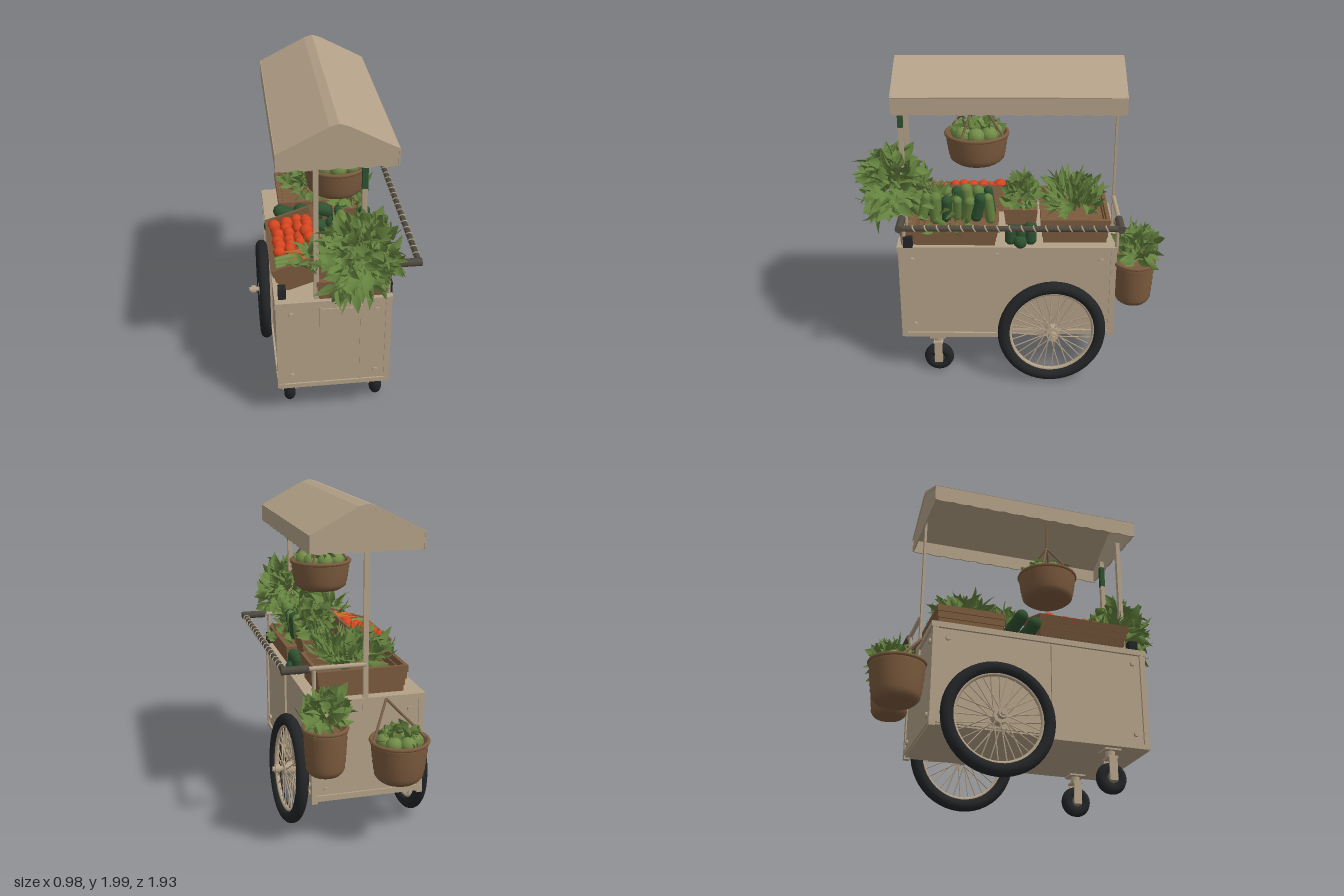
import * as THREE from 'three';
import { mergeGeometries } from 'three/addons/utils/BufferGeometryUtils.js';

const mat = (name, color, side = THREE.FrontSide) =>
  Object.assign(new THREE.MeshStandardMaterial({ color, side }), { name });

export function createModel() {
  const root = new THREE.Group();
  root.name = 'marketCart';
  const M = {
    cream: mat('cream paint', 0xb4a288, THREE.DoubleSide),
    black: mat('black rubber', 0x222426),
    wicker: mat('wicker', 0x7c5b3e, THREE.DoubleSide),
    rope: mat('rope', 0x7a6048),
    wrap: mat('dark grip', 0x504b40),
    leaf: mat('leaf green', 0x65823f, THREE.DoubleSide),
    light: mat('light green', 0x748e49, THREE.DoubleSide),
    dark: mat('dark green', 0x2e5230),
    red: mat('tomato red', 0xd8451f),
    carrot: mat('carrot orange', 0xc9682e),
  };
  let seed = 7;
  const rnd = (a = 0, b = 1) => {
    seed = (seed * 16807) % 2147483647;
    return a + (b - a) * seed / 2147483647;
  };
  const V = (x, y, z) => new THREE.Vector3(x, y, z);
  const add = (name, geo, m, p = [0, 0, 0], r = [0, 0, 0], parent = root) => {
    const mesh = new THREE.Mesh(geo, m);
    mesh.name = name;
    mesh.position.set(...p);
    mesh.rotation.set(...r);
    parent.add(mesh);
    return mesh;
  };
  const box = (name, s, p, m = M.cream, parent = root) =>
    add(name, new THREE.BoxGeometry(...s), m, p, [0, 0, 0], parent);
  // straight rod between two points
  const rodGeo = (a, b, r, sides = 8) => {
    const d = b.clone().sub(a);
    const g = new THREE.CylinderGeometry(r, r, d.length(), sides);
    g.applyQuaternion(new THREE.Quaternion().setFromUnitVectors(V(0, 1, 0), d.normalize()));
    return g.translate((a.x + b.x) / 2, (a.y + b.y) / 2, (a.z + b.z) / 2);
  };
  const rod = (name, a, b, r, m = M.cream, parent = root) => add(name, rodGeo(V(...a), V(...b), r), m, [0, 0, 0], [0, 0, 0], parent);

  // cabinet
  box('cabinet', [0.65, 0.59, 1.31], [-0.02, 0.58, 0.02]);
  box('cabinetFloor', [0.65, 0.02, 0.62], [-0.02, 0.28, 0.36]);
  box('counterTop', [0.68, 0.035, 1.34], [-0.02, 0.885, 0.02]);
  for (const x of [-0.34, 0.3]) {
    for (const z of [0.665, -0.625]) box('cornerTrim', [0.035, 0.6, 0.035], [x, 0.575, z]);
    box('sidePanelSeam', [0.035, 0.58, 0.014], [x, 0.57, 0.08]);
    box('bottomRail', [0.035, 0.03, 0.6], [x, 0.285, 0.37]);
    box('rearRail', [0.035, 0.03, 0.7], [x, 0.31, -0.27]);
    box('cornerCap', [0.045, 0.07, 0.055], [x > 0 ? 0.3 : -0.315, 0.935, 0.62], M.black);
  }
  for (const x of [-0.1, 0.14]) box('frontSeam', [0.012, 0.56, 0.01], [x, 0.575, 0.676]);
  box('frontDoor', [0.22, 0.5, 0.009], [0.02, 0.59, 0.677]);
  box('frontRail', [0.66, 0.03, 0.02], [-0.02, 0.285, 0.675]);
  box('backRail', [0.66, 0.03, 0.02], [-0.02, 0.31, -0.635]);
  for (const y of [0.36, 0.81]) {
    for (const x of [-0.27, 0.23]) for (const z of [0.68, -0.64])
      add('bolt', new THREE.CylinderGeometry(0.016, 0.016, 0.014, 10), M.cream, [x, y, z], [Math.PI / 2, 0, 0]);
    for (const x of [-0.35, 0.31]) for (const z of [0.6, -0.55])
      add('bolt', new THREE.CylinderGeometry(0.016, 0.016, 0.02, 10), M.cream, [x, y, z], [0, 0, Math.PI / 2]);
  }

  // spoked wheels
  const spokes = [];
  for (let i = 0; i < 32; i++) {
    const a = i / 32 * Math.PI * 2, b = a + (i % 2 ? 0.5 : -0.5), s = i % 4 < 2 ? 0.025 : -0.025;
    spokes.push(rodGeo(V(s, Math.sin(b) * 0.035, Math.cos(b) * 0.035), V(0, Math.sin(a) * 0.265, Math.cos(a) * 0.265), 0.004, 5));
  }
  const spokeGeo = mergeGeometries(spokes);
  for (const [name, x, ry, rz] of [['leftWheel', 0.372, 0.065, 0.07], ['rightWheel', -0.385, 0, 0]]) {
    const g = new THREE.Group(), out = Math.sign(x);
    g.name = name;
    g.position.set(x, 0.348, -0.255);
    g.rotation.set(0, ry, rz);
    root.add(g);
    add('tyre', new THREE.TorusGeometry(0.298, 0.038, 12, 48), M.black, [0, 0, 0], [0, Math.PI / 2, 0], g);
    add('rim', new THREE.TorusGeometry(0.262, 0.014, 8, 48), M.cream, [0, 0, 0], [0, Math.PI / 2, 0], g);
    add('spokes', spokeGeo, M.cream, [0, 0, 0], [0, 0, 0], g);
    rod('hub', [-0.035, 0, 0], [0.035, 0, 0], 0.042, M.cream, g);
    rod('axleEnd', [-0.05 * out, 0, 0], [0.1 * out, 0, 0], 0.016, M.cream, g);
    rod('axleNut', [0.055 * out, 0, 0], [0.085 * out, 0, 0], 0.028, M.cream, g);
  }
  rod('axle', [-0.38, 0.348, -0.255], [0.36, 0.348, -0.255], 0.015);

  // swivel casters
  for (const x of [-0.275, 0.27]) {
    const g = new THREE.Group();
    g.name = 'caster';
    g.position.set(x, 0.1, 0.46);
    root.add(g);
    add('casterTyre', new THREE.TorusGeometry(0.06, 0.034, 10, 28), M.black, [0, 0, 0], [0, Math.PI / 2, 0], g);
    rod('casterHub', [-0.028, 0, 0], [0.028, 0, 0], 0.036, M.wrap, g);
    for (const s of [-0.04, 0.04]) box('forkArm', [0.01, 0.14, 0.05], [s, 0.05, 0], M.cream, g);
    box('forkBridge', [0.09, 0.014, 0.06], [0, 0.12, 0], M.cream, g);
    rod('swivel', [0, 0.12, 0], [0, 0.18, 0], 0.03, M.cream, g);
    box('mountPlate', [0.1, 0.014, 0.1], [0, 0.166, 0], M.cream, g);
  }

  // canopy posts
  for (const x of [-0.12, 0.145]) box('frontPost', [0.028, 0.92, 0.028], [x, 1.34, 0.65]);
  box('postSleeve', [0.031, 0.15, 0.031], [0.145, 1.68, 0.65], M.dark);
  box('backPost', [0.03, 1.02, 0.014], [0, 1.34, -0.64]);

  // canopy cloth: roof shell, wavy valance and gables
  const roof = new THREE.Shape();
  [[-0.335, 1.84], [-0.05, 1.985], [0, 2], [0.05, 1.985], [0.325, 1.84],
    [0.32, 1.825], [0, 1.985], [-0.325, 1.825]].forEach(([x, y], i) => i ? roof.lineTo(x, y) : roof.moveTo(x, y));
  add('canopyRoof', new THREE.ExtrudeGeometry(roof, { depth: 1.34, bevelEnabled: false }), M.cream, [0, 0, -0.66]);
  const scallops = (s, w, n, drop) => {
    for (let i = 0; i < n; i++) {
      const x = w / 2 - i * w / n;
      s.quadraticCurveTo(x - w / n / 2, -drop, x - w / n, 0);
    }
  };
  const thin = s => new THREE.ExtrudeGeometry(s, { depth: 0.008, bevelEnabled: false, curveSegments: 5 });
  const val = new THREE.Shape();
  val.moveTo(-0.67, 0.1); val.lineTo(0.67, 0.1); val.lineTo(0.67, 0);
  scallops(val, 1.34, 12, 0.014);
  add('leftValance', thin(val), M.cream, [0.316, 1.742, 0.01], [0, Math.PI / 2, 0]);
  add('rightValance', thin(val), M.cream, [-0.334, 1.742, 0.01], [0, Math.PI / 2, 0]);
  const gable = new THREE.Shape();
  gable.moveTo(-0.325, 0.1); gable.lineTo(0, 0.25); gable.lineTo(0.325, 0.1); gable.lineTo(0.325, 0);
  scallops(gable, 0.65, 6, 0.02);
  for (const z of [0.665, -0.655]) add('gable', thin(gable), M.cream, [-0.005, 1.745, z]);

  // push rail with wrapped grip
  rod('pushRail', [0.468, 1.1, -0.65], [0.468, 1.1, 0.65], 0.018, M.wrap);
  for (let i = 0; i < 17; i++)
    add('railBinding', new THREE.TorusGeometry(0.018, 0.005, 6, 12), M.cream, [0.468, 1.1, -0.56 + i * 0.07], [0.5, 0, 0]);
  for (const [z, x] of [[0.645, 0.15], [-0.64, 0]]) {
    rod('railArm', [x, 1.1, z], [0.34, 1.1, z], 0.014);
    rod('railGrip', [0.33, 1.1, z], [0.485, 1.1, z], 0.024, M.wrap);
    rod('railBrace', [0.3, 0.9, z], [0.3, 1.1, z], 0.012);
  }

  // folded, drooping leaf that grows along +y
  const leafGeo = (w, l) => {
    const g = new THREE.PlaneGeometry(1, 1, 2, 4), p = g.attributes.position;
    for (let i = 0; i < p.count; i++) {
      const t = p.getY(i) + 0.5, x = p.getX(i) * w * (Math.sin(Math.PI * Math.pow(t, 0.75)) + 0.06);
      p.setXYZ(i, x, t * l, Math.abs(x) * 0.4 - t * t * l * 0.3);
    }
    g.computeVertexNormals();
    return g;
  };
  // clump of leaves scattered through an ellipsoid; lift pulls them upright
  const bush = (name, c, r, n, l, w, lift, m = M.leaf) => {
    const parts = [], q = new THREE.Quaternion();
    for (let i = 0; i < n; i++) {
      const a = i * 2.39996, h = rnd(-0.75, 1), k = Math.sqrt(1 - h * h) * rnd(0.8, 1);
      const d = V(Math.cos(a) * k, h, Math.sin(a) * k), f = rnd(0.35, 0.9), s = rnd(0.75, 1.2);
      const dir = d.clone().add(V(rnd(-0.9, 0.9), lift + rnd(-0.6, 0.6), rnd(-0.9, 0.9))).normalize();
      const g = leafGeo(w * s, l * s).rotateY(rnd(0, 6.28));
      g.applyQuaternion(q.setFromUnitVectors(V(0, 1, 0), dir));
      parts.push(g.translate(c[0] + d.x * r[0] * f, c[1] + d.y * r[1] * f, c[2] + d.z * r[2] * f));
    }
    return add(name, mergeGeometries(parts), m);
  };

  // rectangular wicker basket from stacked woven rings
  const crate = (name, w, h, d, p, r = [0, 0, 0]) => {
    const g = new THREE.Group(), rows = 4;
    g.name = name;
    g.position.set(...p);
    g.rotation.set(...r);
    root.add(g);
    const rect = (s, a, b) => { s.moveTo(-a, -b); s.lineTo(a, -b); s.lineTo(a, b); s.lineTo(-a, b); s.closePath(); return s; };
    for (let i = 0; i < rows; i++) {
      const k = 0.92 + 0.08 * i / (rows - 1), a = w / 2 * k, b = d / 2 * k;
      const s = rect(new THREE.Shape(), a, b);
      s.holes.push(rect(new THREE.Path(), a - 0.022, b - 0.022));
      add('wovenRow', new THREE.ExtrudeGeometry(s, { depth: h / rows, bevelEnabled: false }),
        M.wicker, [0, h * i / rows, 0], [-Math.PI / 2, 0, 0], g);
    }
    box('basketFill', [w * 0.86, h * 0.5, d * 0.86], [0, h * 0.26, 0], M.wicker, g);
    return g;
  };
  // round wicker basket, base at y = 0
  const pot = (name, rb, rt, h, p) => {
    const pts = [[0, 0], [rb * 0.85, 0]];
    for (let i = 0; i <= 12; i++) pts.push([rb + (rt - rb) * Math.sqrt(i / 12) + (i % 2) * 0.004, 0.015 + (h - 0.015) * i / 12]);
    pts.push([rt - 0.02, h], [rt - 0.025, h - 0.04], [0, h - 0.03]);
    add(name, new THREE.LatheGeometry(pts.map(a => new THREE.Vector2(...a)), 28), M.wicker, p);
    add(name + 'Rim', new THREE.TorusGeometry(rt, 0.012, 8, 28), M.wicker, [p[0], p[1] + h, p[2]], [Math.PI / 2, 0, 0]);
  };
  const capsule = (r, l) => new THREE.CapsuleGeometry(r, l, 5, 10);

  // produce on the counter: left front basket with courgettes and stalks
  crate('leftFrontBasket', 0.3, 0.12, 0.52, [0.15, 0.9, 0.335]);
  for (let i = 0; i < 14; i++)
    add('courgette', capsule(rnd(0.028, 0.04), rnd(0.1, 0.15)), i % 3 ? M.leaf : M.dark,
      [0.07 + (i % 2) * 0.13 + rnd(-0.02, 0.02), 1.09 + rnd(0, 0.04), 0.13 + Math.floor(i / 2) * 0.065], [rnd(-0.3, 0.3), 0, rnd(-0.35, 0.1)]);
  bush('chard', [0.14, 1.08, 0.46], [0.12, 0.1, 0.1], 60, 0.11, 0.035, 1);
  bush('overhangingLeaves', [0.28, 1.02, 0.36], [0.06, 0.04, 0.16], 16, 0.07, 0.035, -0.2);

  // tilted basket of tomatoes, carrots and cucumbers
  const tilted = crate('tomatoBasket', 0.31, 0.17, 0.58, [-0.17, 0.935, 0.29], [0, 0, 0.32]);
  for (let i = 0; i < 22; i++)
    add('tomato', new THREE.SphereGeometry(rnd(0.032, 0.042), 12, 8), M.red,
      [-0.095 + (i % 4) * 0.064 + rnd(-0.01, 0.01), 0.12 + rnd(0, 0.035), -0.22 + Math.floor(i / 4) * 0.058 + rnd(-0.01, 0.01)], [0, 0, 0], tilted);
  for (let i = 0; i < 6; i++) {
    add('carrot', new THREE.ConeGeometry(0.024, 0.18, 9), M.carrot, [0.04 + rnd(-0.03, 0.03), 0.13 + (i % 2) * 0.03, 0.13 + i * 0.022], [0, rnd(-0.3, 0.3), 1.3], tilted);
    add('cucumber', capsule(0.018, 0.1), M.light, [-0.07, 0.115 + (i % 2) * 0.025, 0.12 + i * 0.024], [0, rnd(-0.3, 0.3), 1.4], tilted);
  }

  // middle row: dark squashes and a small plant
  for (let i = 0; i < 9; i++)
    add('squash', capsule(0.042, 0.13), M.dark, [0.24 - i * 0.065, 0.96 + (i % 2) * 0.07, -0.04 - (i % 2) * 0.06], [0, 0.3, 1.1]);
  for (const z of [0.0, -0.06, -0.12]) add('squash', capsule(0.038, 0.05), M.dark, [0.27, 0.965, z]);
  crate('smallBasket', 0.2, 0.1, 0.2, [0.15, 1.02, -0.06]);
  bush('smallPlant', [0.15, 1.19, -0.06], [0.11, 0.1, 0.11], 100, 0.075, 0.05, 0.3);

  // rear basket of greens
  crate('rearBasket', 0.54, 0.16, 0.42, [0, 0.9, -0.39]);
  bush('rearGreens', [0, 1.09, -0.39], [0.24, 0.11, 0.18], 170, 0.11, 0.04, 0.7);
  bush('rearSprouts', [0.13, 1.12, -0.39], [0.13, 0.08, 0.18], 50, 0.14, 0.018, 1.8);

  // big front bush and its basket
  crate('frontBasket', 0.42, 0.12, 0.14, [0.09, 0.9, 0.6]);
  bush('frontBush', [0.125, 1.24, 0.725], [0.22, 0.22, 0.18], 420, 0.1, 0.06, 0.1);
  bush('trailingLeaves', [0.08, 1.11, 0.76], [0.21, 0.13, 0.11], 50, 0.13, 0.05, -0.9);
  bush('frontHerbs', [-0.12, 1.12, 0.6], [0.11, 0.08, 0.07], 50, 0.11, 0.035, 0.5);

  // hanging basket of lettuces
  pot('hangingBasket', 0.15, 0.185, 0.18, [0.045, 1.36, 0.205]);
  for (let i = 0; i < 9; i++) {
    const a = i * Math.PI / 4, r = i === 8 ? 0 : 0.11;
    add('lettuce', new THREE.IcosahedronGeometry(0.052, 1), M.light, [0.045 + r * Math.cos(a), i === 8 ? 1.585 : 1.55, 0.205 + r * Math.sin(a)]);
  }
  bush('lettuceLeaves', [0.045, 1.55, 0.205], [0.15, 0.08, 0.15], 110, 0.06, 0.055, 0.4);
  for (let i = 0; i < 4; i++) {
    const a = i * Math.PI / 2 + 0.5;
    rod('hangingRope', [0.045 + 0.185 * Math.cos(a), 1.54, 0.205 + 0.185 * Math.sin(a)], [0.045, 1.77, 0.205], 0.007, M.rope);
  }
  rod('hangingHook', [0.045, 1.76, 0.205], [0.045, 1.97, 0.205], 0.007, M.rope);

  // rear pots
  pot('leafyPot', 0.1, 0.122, 0.27, [0.265, 0.52, -0.755]);
  bush('potPlant', [0.265, 0.87, -0.77], [0.12, 0.11, 0.1], 120, 0.1, 0.055, 0.6);
  pot('rearRoundBasket', 0.125, 0.162, 0.24, [-0.155, 0.45, -0.795]);
  for (let i = 0; i < 8; i++) {
    const a = i * Math.PI * 2 / 7, r = i === 7 ? 0 : 0.09;
    add('rearLettuceHead', new THREE.IcosahedronGeometry(0.048, 1), M.light, [-0.155 + r * Math.cos(a), i === 7 ? 0.72 : 0.69, -0.795 + r * Math.sin(a)]);
  }
  bush('rearLettuce', [-0.155, 0.69, -0.795], [0.13, 0.08, 0.13], 110, 0.06, 0.055, 0.5);
  for (const x of [-0.31, 0])
    rod('basketStrap', [x, 0.69, -0.8], [-0.12, 0.89, -0.655], 0.008, M.rope);
  rod('potStrap', [0.265, 0.79, -0.65], [0.265, 0.87, -0.64], 0.01, M.rope);

  return root;
}
